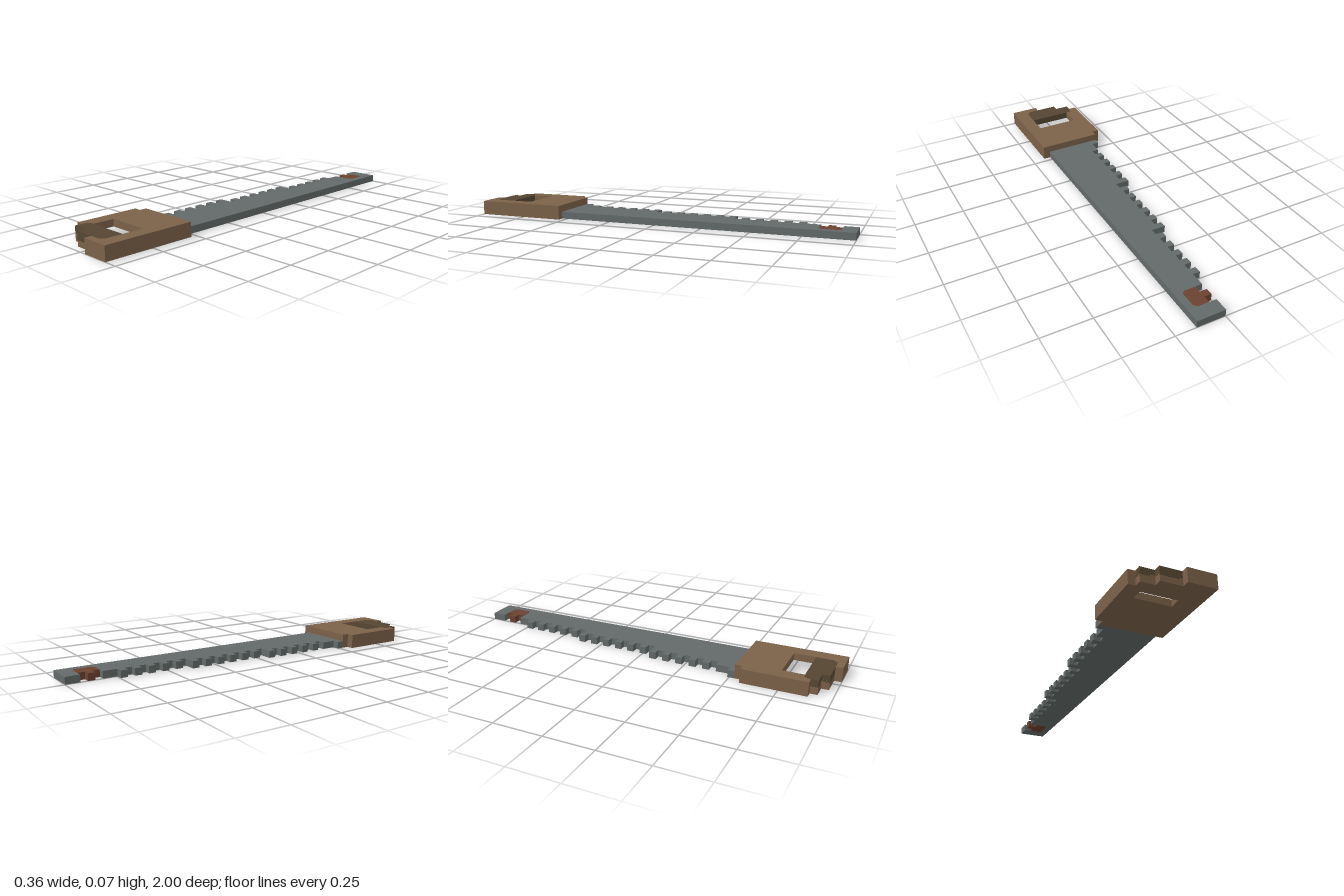
import * as THREE from 'three';

const U = 2 / 55; // one grid step; the saw is 55 steps long

const material = (name, color) => {
  const m = new THREE.MeshStandardMaterial({ color });
  m.name = name;
  return m;
};

// Upright prism from a plan outline of [x, steps from the tip], between two heights in steps
function slab(name, mat, outline, bottom, top, hole) {
  const toPoints = (list) => list.map(([x, k]) => new THREE.Vector2(x * U, (27.5 - k) * U));
  const shape = new THREE.Shape(toPoints(outline));
  if (hole) shape.holes.push(new THREE.Path(toPoints(hole)));
  const geometry = new THREE.ExtrudeGeometry(shape, { depth: (top - bottom) * U, bevelEnabled: false });
  geometry.rotateX(-Math.PI / 2).translate(0, bottom * U, 0);
  const mesh = new THREE.Mesh(geometry, mat);
  mesh.name = name;
  return mesh;
}

const rect = (x0, x1, k0, k1) => [[x0, k0], [x1, k0], [x1, k1], [x0, k1]];

export function createModel() {
  const steel = material('steel', 0x626a69);
  const rust = material('rust', 0x6b4230);
  const wood = material('wood', 0x7b6149);
  const darkWood = material('dark wood', 0x554632);

  const saw = new THREE.Group();
  saw.name = 'handSaw';

  // Blade: straight back, three stepped rows of teeth, notch near the tip
  const blade = [[0, 0], [4, 0], [4, 42], [-4, 42], [-4, 41], [-3, 41], [-3, 39]];
  for (const [base, last, first] of [[-2, 37, 29], [-1, 27, 17], [0, 15, 7]]) {
    blade.push([base, last + 2]);
    for (let k = last; k >= first; k -= 2) {
      blade.push([base, k + 1], [base - 1, k + 1], [base - 1, k], [base, k]);
    }
  }
  blade.push([0, 5], [2.6, 5], [3, 4.6], [3, 2.4], [2.6, 2], [0, 2]);
  saw.add(slab('blade', steel, blade, 0, 1));

  // Rusted patch with its single tooth
  saw.add(slab('rustPatch', rust, [
    [1, 2], [2.6, 2], [3, 2.4], [3, 4.6], [2.6, 5], [1, 5], [1, 4], [0, 4], [0, 3], [1, 3],
  ], 0, 1));

  // Handle: lower layer with a finger hole, upper layer wrapped around the dark grip
  const handle = new THREE.Group();
  handle.name = 'handle';
  handle.add(slab('handleBase', wood, [
    [-4, 42], [5, 42], [5, 55], [1, 55], [1, 54], [-2, 54], [-2, 53],
    [-4, 53], [-4, 52], [-5, 52], [-5, 43], [-4, 43],
  ], 0, 1, rect(-3, 3, 48, 51)));
  handle.add(slab('handleTop', wood, [
    [-4, 42], [5, 42], [5, 55], [1, 55], [1, 54], [2.4, 54], [3, 53.4], [3, 48], [-3, 48],
    [-3, 51], [-3.6, 51], [-4, 51.6], [-4, 52], [-5, 52], [-5, 43], [-4, 43],
  ], 1, 2));
  handle.add(slab('grip', darkWood, [
    [-3, 51], [3, 51], [3, 53.4], [2.4, 54], [-2, 54], [-2, 53], [-4, 53], [-4, 51.6], [-3.6, 51],
  ], 1, 2));

  // Uneven lower edge of the grip stain
  handle.add(slab('gripStainEdge', darkWood, rect(-2, 0.55, 53.98, 54.05), 0.83, 1));
  handle.add(slab('gripWornEdge', wood, rect(-2.75, -2, 52.98, 53.05), 1, 1.2));
  saw.add(handle);

  return saw;
}
